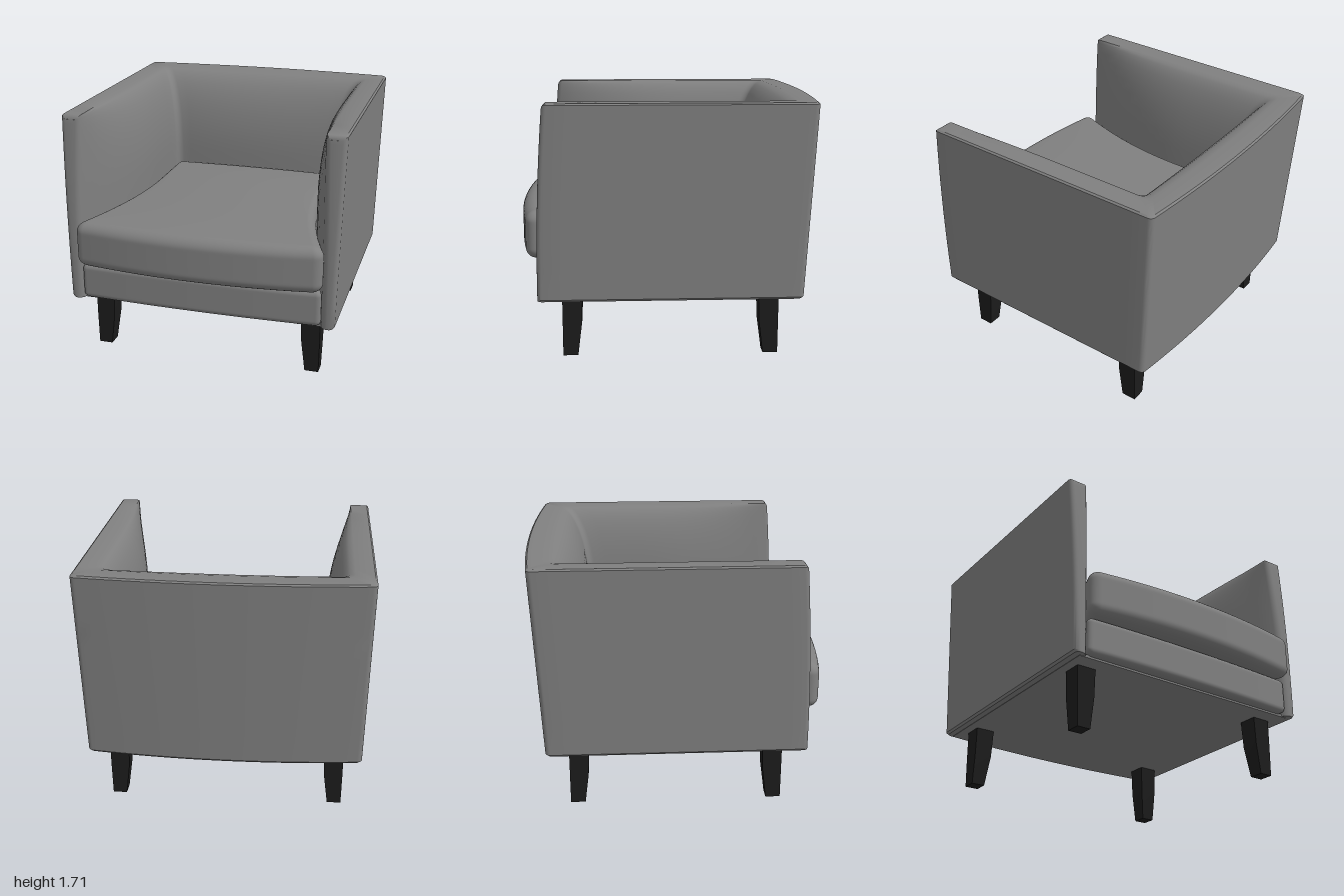
import * as THREE from 'three';
import { mergeVertices, toCreasedNormals } from 'three/addons/utils/BufferGeometryUtils.js';

const fabric = new THREE.MeshStandardMaterial({ color: 0x808080 });
const darkWood = new THREE.MeshStandardMaterial({ color: 0x1c1c1c });
const lerp = THREE.MathUtils.lerp;
const BOTTOM = 0.41, TOP = 1.705;
const rise = (y) => (y - BOTTOM) / (TOP - BOTTOM);

// Half width of the seat opening, flaring towards the front
const seatHalf = (z) => 0.643 + 0.2 * Math.max(0, z + 0.15) ** 2;
// How far the padding swells at a height: full at the seat, none at the rim
const padding = (y) => Math.sqrt(1 - THREE.MathUtils.clamp((y - 1.1) / (TOP - 1.1), 0, 1) ** 2);

// Plan of half the shell: arm front -> rounded corner -> middle of the back
function halfPath(halfWidth, zFront, zCorner, zMiddle, r) {
  const pts = [], arm = 14, arc = 6, back = 10;
  const X = halfWidth(zCorner);
  for (let i = 1; i <= arm; i++) {
    const z = lerp(zFront, zCorner + r, i / arm);
    pts.push([halfWidth(z), z]);
  }
  for (let i = 1; i < arc; i++) {
    const a = (i / arc) * Math.PI / 2;
    pts.push([X - r + r * Math.cos(a), zCorner + r - r * Math.sin(a)]);
  }
  for (let i = 0; i <= back; i++) {
    const x = (X - r) * (1 - i / back);
    pts.push([x, lerp(zMiddle, zCorner, (x / (X - r)) ** 2)]);
  }
  return pts;
}

// One level of the shell, outside or inside, from the left arm to the right
function levelPath(y, inside, edge) {
  const t = rise(y), zFront = 0.86 - 0.06 * t * t, k = padding(y);
  const width = inside
    ? (z) => lerp(0.82, seatHalf(z), k)
    : () => lerp(0.925, 0.955, t) - edge;
  const path = inside
    ? halfPath(width, zFront - 0.03, lerp(-0.83, -0.615, k), lerp(-0.86, -0.595, k), 0.05)
    : halfPath(width, zFront - 0.03, lerp(-0.89, -0.955, t) + edge, lerp(-0.94, -1, t) + edge, 0.035);
  // Rounded front end of the arm
  const r = 0.03, front = [];
  for (let i = 0; i <= 4; i++) {
    const a = (i / 4) * Math.PI / 2, inset = r * (1 - Math.sin(a));
    const z = zFront - r + r * Math.cos(a);
    front.push([width(z) + (inside ? inset : -inset), z, inset]);
  }
  const half = [...front, ...path].map(([x, z, inset = 0]) =>
    new THREE.Vector3(x, Math.min(y, TOP - inset), z));
  const other = half.slice(0, -1).reverse().map((p) => new THREE.Vector3(-p.x, p.y, p.z));
  return [...half, ...other];
}

function shellGeometry() {
  const ys = [BOTTOM, 0.425, 0.6, 0.8, 1, 1.1, 1.2, 1.3, 1.4, 1.48, 1.55, 1.61, 1.65, 1.68, 1.695, TOP];
  const edge = (y) => (y === BOTTOM || y === TOP ? 0.012 : 0);
  const outer = ys.map((y) => levelPath(y, false, edge(y)));
  const inner = ys.map((y) => levelPath(y, true, 0));
  const ring = [...outer, ...[...inner].reverse()];
  const n = outer[0].length, pos = [];
  const quad = (a, b, c, d) => [a, b, c, a, c, d].forEach((p) => pos.push(p.x, p.y, p.z));
  for (let j = 0; j < ring.length; j++) {
    const next = ring[(j + 1) % ring.length];
    for (let s = 0; s < n - 1; s++) quad(ring[j][s], ring[j][s + 1], next[s + 1], next[s]);
  }
  // Front faces of both arms
  for (let i = 0; i < ys.length - 1; i++) {
    quad(outer[i][0], outer[i + 1][0], inner[i + 1][0], inner[i][0]);
    const e = n - 1;
    quad(inner[i][e], inner[i + 1][e], outer[i + 1][e], outer[i][e]);
  }
  const g = new THREE.BufferGeometry();
  g.setAttribute('position', new THREE.Float32BufferAttribute(pos, 3));
  return toCreasedNormals(g, 0.65);
}

// Soft block that follows the seat opening, with a bowed front and crowned top
function softBlock(y0, y1, z0, z1, r, bow, crown) {
  const N = 24, K = 5, W = 0.75;
  const g = new THREE.BoxGeometry(2, 2, 2, N, N, N);
  g.deleteAttribute('uv');
  g.deleteAttribute('normal');
  const size = new THREE.Vector3(W, (y1 - y0) / 2, (z1 - z0) / 2);
  const p = g.attributes.position, core = new THREE.Vector3(), dir = new THREE.Vector3();
  for (let i = 0; i < p.count; i++) {
    for (const [c, axis] of ['x', 'y', 'z'].entries()) {
      const step = p.getComponent(i, c) * N / 2, flat = N / 2 - K, h = size[axis] - r;
      const over = Math.max(0, Math.abs(step) - flat) / K;
      core[axis] = THREE.MathUtils.clamp(step / flat, -1, 1) * h;
      dir[axis] = Math.sign(step) * Math.tan(over * Math.PI / 4);
    }
    core.addScaledVector(dir.normalize(), r);
    const u = core.x / W, t = (core.z / size.z + 1) / 2, v = (core.y / size.y + 1) / 2;
    const z = lerp(z0, z1, t);
    p.setXYZ(i, u * (seatHalf(z) - 0.003),
      lerp(y0, y1, v) + crown * v * (1 - u * u) * (1 - (2 * t - 1) ** 4),
      z + bow * (1 - u * u) * t ** 3);
  }
  const merged = mergeVertices(g, 1e-5);
  merged.computeVertexNormals();
  return merged;
}

// Square leg, straight on its outer faces and tapered on its inner ones
function legGeometry(sx, sz) {
  const h = 0.43, w = 0.135;
  const g = new THREE.BoxGeometry(w, h, w, 1, 2, 1);
  const p = g.attributes.position;
  for (let i = 0; i < p.count; i++) {
    const y = p.getY(i) + h / 2;
    const taper = y < 0.01 ? 0.035 : y < 0.3 ? 0.008 : 0;
    const x = p.getX(i), z = p.getZ(i);
    p.setXYZ(i, x + (x * sx < 0 ? sx * taper : -sx * taper * 0.15), y, z + (z * sz < 0 ? sz * taper : 0));
  }
  g.computeVertexNormals();
  return g;
}

export function createModel() {
  const chair = new THREE.Group();
  chair.name = 'armchair';
  const add = (name, geometry, material) => {
    const mesh = new THREE.Mesh(geometry, material);
    mesh.name = name;
    chair.add(mesh);
    return mesh;
  };

  add('armsAndBack', shellGeometry(), fabric);
  add('seatCushion', softBlock(0.675, 0.995, -0.62, 0.92, 0.07, 0.08, 0.025), fabric);
  add('seatBase', softBlock(0.42, 0.675, -0.62, 0.865, 0.04, 0.025, 0), fabric);
  add('underside', new THREE.BoxGeometry(1.74, 0.02, 1.68), fabric).position.set(0, 0.417, -0.02);

  // Four legs
  for (const [side, sx] of [['Left', 1], ['Right', -1]]) {
    add('front' + side + 'Leg', legGeometry(sx, 1), darkWood).position.set(sx * 0.74, 0, 0.637);
    add('back' + side + 'Leg', legGeometry(sx, -1), darkWood).position.set(sx * 0.74, 0, -0.673);
  }
  return chair;
}
